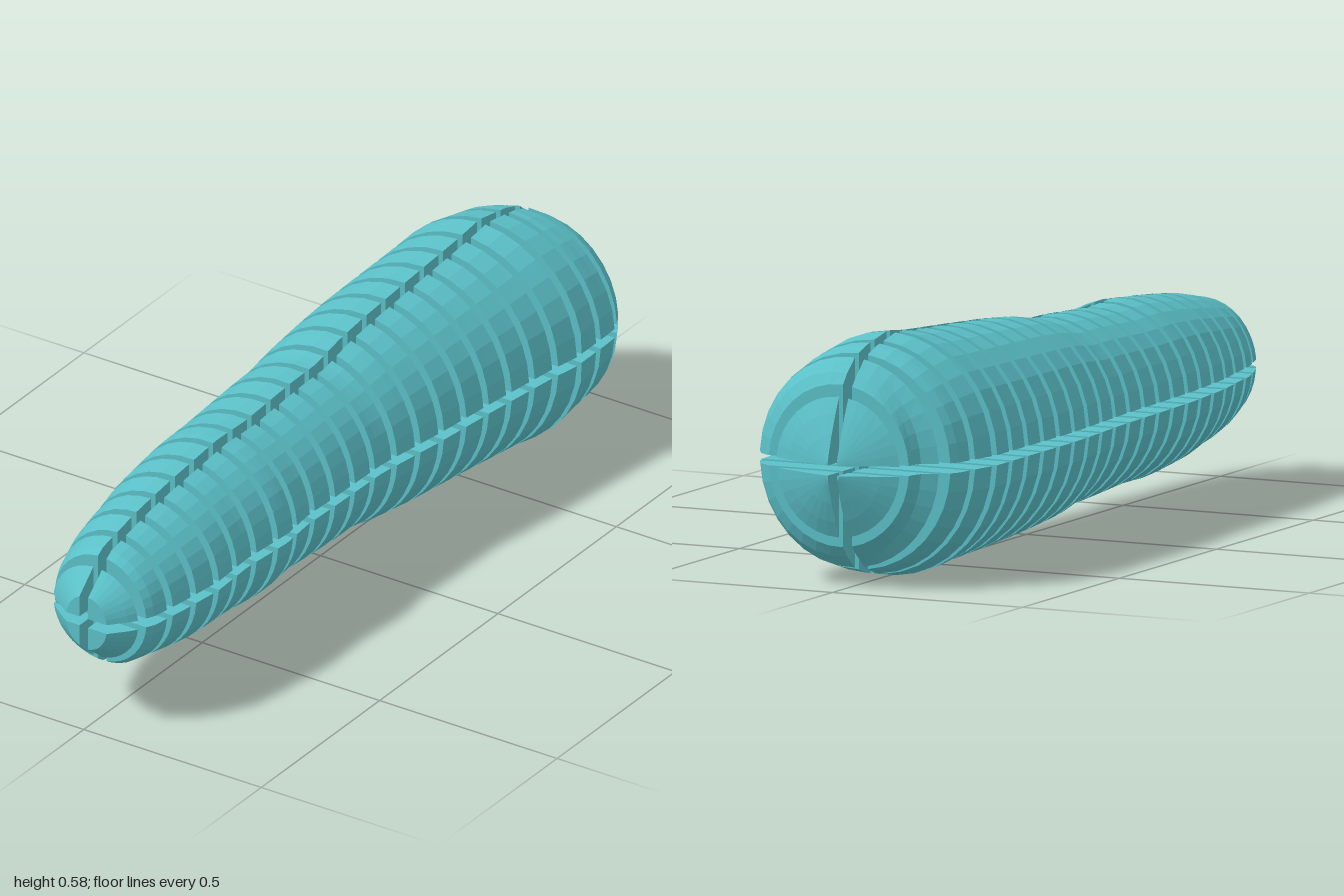
import * as THREE from 'three';

const CY = 0.29, GAP = 0.012, PITCH = 0.081, ARC = 8;

// Profiles as [z, size]: outline on each side in x, and half height
const LEFT = [[-1, 0.02], [-0.96, 0.11], [-0.935, 0.16], [-0.885, 0.165], [-0.86, 0.21], [-0.83, 0.24], [-0.75, 0.255],
  [-0.68, 0.27], [-0.3, 0.27], [-0.2, 0.265], [0, 0.25], [0.2, 0.243], [0.4, 0.235], [0.6, 0.215],
  [0.7, 0.195], [0.8, 0.178], [0.9, 0.145], [0.95, 0.12], [1, 0.05]];
const RIGHT = [[-1, 0.02], [-0.97, 0.12], [-0.94, 0.18], [-0.9, 0.24], [-0.85, 0.268], [-0.7, 0.275],
  [-0.6, 0.255], [-0.4, 0.228], [-0.2, 0.205], [0, 0.175], [0.2, 0.17], [0.3, 0.166], [0.4, 0.175],
  [0.55, 0.162], [0.68, 0.167], [0.8, 0.152], [0.9, 0.135], [0.95, 0.11], [1, 0.065]];
const HEIGHT = [[-1, 0.03], [-0.97, 0.11], [-0.94, 0.17], [-0.9, 0.22], [-0.86, 0.25], [-0.8, 0.27],
  [-0.69, 0.29], [-0.6, 0.28], [-0.4, 0.268], [-0.2, 0.255], [-0.1, 0.245], [0, 0.225], [0.1, 0.224],
  [0.3, 0.212], [0.42, 0.216], [0.6, 0.2], [0.75, 0.182], [0.91, 0.15], [0.95, 0.11], [1, 0.07]];

function sample(profile, z) {
  let i = 1;
  while (i < profile.length - 1 && profile[i][0] < z) i++;
  const [z0, a] = profile[i - 1], [z1, b] = profile[i];
  return a + (b - a) * THREE.MathUtils.clamp((z - z0) / (z1 - z0), 0, 1);
}

// Quarter of an off-centre ellipse, kept clear of the two lengthwise cuts
function quarterRing(z, sx, sy) {
  const l = sample(LEFT, z), r = sample(RIGHT, z), h = sample(HEIGHT, z);
  const cx = (r - l) / 2, rx = (r + l) / 2;
  const cut = sx * GAP;
  const t0 = Math.asin(Math.min(1, GAP / h));
  const t1 = Math.acos(THREE.MathUtils.clamp(sx * (cut - cx) / rx, -1, 1));
  const ring = [[cut, CY + sy * GAP, z]];
  for (let i = 0; i <= ARC; i++) {
    const t = t0 + (t1 - t0) * i / ARC;
    const x = THREE.MathUtils.clamp(cx + sx * rx * Math.cos(t), -0.27, 0.27);
    ring.push([x, CY + sy * h * Math.sin(t), z]);
  }
  return ring;
}

// Closed solid wedge between two z positions
function wedge(zFront, zBack, sx, sy) {
  const steps = 3, n = ARC + 2, pos = [], idx = [];
  const tri = (a, b, c) => (sx * sy > 0 ? idx.push(a, b, c) : idx.push(a, c, b));
  for (let s = 0; s <= steps; s++) {
    const z = zFront + (zBack - zFront) * s / steps;
    quarterRing(z, sx, sy).forEach(p => pos.push(...p));
  }
  for (let s = 0; s < steps; s++) {
    for (let i = 0; i < n; i++) {
      const a = s * n + i, a1 = s * n + (i + 1) % n;
      tri(a, a + n, a1);
      tri(a1, a + n, a1 + n);
    }
  }
  const last = steps * n;
  for (let i = 1; i < n - 1; i++) {
    tri(0, i, i + 1);
    tri(last, last + i + 1, last + i);
  }
  const g = new THREE.BufferGeometry();
  g.setAttribute('position', new THREE.Float32BufferAttribute(pos, 3));
  g.setIndex(idx);
  const flat = g.toNonIndexed();
  flat.computeVertexNormals();
  return flat;
}

export function createModel() {
  const model = new THREE.Group();
  model.name = 'slicedBody';
  const material = new THREE.MeshStandardMaterial({ color: 0x5bc0c8, flatShading: true });

  // Four lengthwise quarters, each cut into 23 slices and two end tips
  for (const [sx, side] of [[1, 'Left'], [-1, 'Right']]) {
    for (const [sy, level] of [[1, 'upper'], [-1, 'lower']]) {
      const quarter = new THREE.Group();
      quarter.name = level + side + 'Quarter';
      for (let k = -12; k <= 12; k++) {
        const front = Math.min(1, (k + 0.5) * PITCH - 0.01);
        const back = Math.max(-1, (k - 0.5) * PITCH + 0.01);
        const mesh = new THREE.Mesh(wedge(k === 12 ? 1 : front, k === -12 ? -1 : back, sx, sy), material);
        mesh.name = k === 12 ? 'frontTip' : k === -12 ? 'backTip' : 'slice';
        quarter.add(mesh);
      }
      model.add(quarter);
    }
  }
  return model;
}
